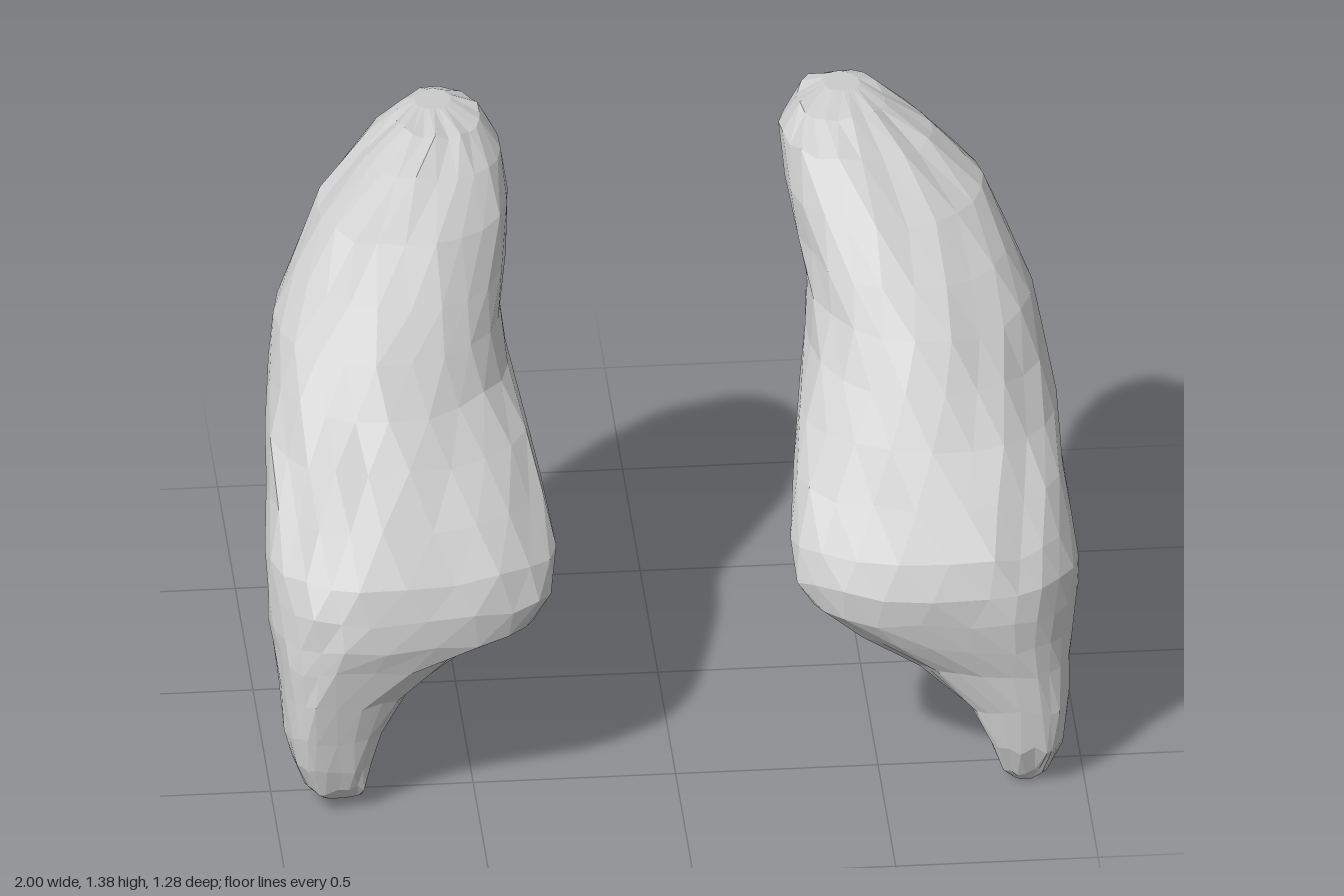
import * as THREE from 'three';

const SEGMENTS = 22;

// Each level: height, inner x, outer x, back z, front z
const LEFT = [
  [0.00, 0.83, 0.88, 0.55, 0.60], [0.03, 0.80, 0.91, 0.51, 0.62], [0.10, 0.77, 0.95, 0.43, 0.64],
  [0.20, 0.72, 0.97, 0.32, 0.635], [0.30, 0.60, 0.98, 0.16, 0.63], [0.38, 0.46, 0.99, 0.10, 0.63],
  [0.45, 0.34, 1.00, 0.06, 0.63], [0.52, 0.30, 1.00, 0.00, 0.62], [0.60, 0.295, 0.99, -0.07, 0.58],
  [0.70, 0.31, 0.985, -0.19, 0.48], [0.80, 0.34, 0.975, -0.35, 0.36], [0.90, 0.37, 0.955, -0.48, 0.26],
  [1.00, 0.38, 0.935, -0.56, 0.17], [1.10, 0.365, 0.89, -0.62, 0.07], [1.20, 0.34, 0.83, -0.64, -0.06],
  [1.30, 0.335, 0.71, -0.62, -0.21], [1.36, 0.38, 0.60, -0.58, -0.32], [1.38, 0.45, 0.54, -0.53, -0.43],
];
const RIGHT = [
  [0.03, 0.78, 0.89, 0.50, 0.60], [0.06, 0.77, 0.92, 0.47, 0.62], [0.12, 0.76, 0.95, 0.41, 0.63],
  [0.20, 0.73, 0.97, 0.32, 0.63], [0.30, 0.66, 0.98, 0.16, 0.63], [0.39, 0.53, 0.99, 0.10, 0.63],
  [0.45, 0.35, 1.00, 0.06, 0.63], [0.52, 0.295, 1.00, 0.00, 0.62], [0.60, 0.285, 1.00, -0.07, 0.58],
  [0.70, 0.305, 0.99, -0.19, 0.48], [0.80, 0.33, 0.98, -0.35, 0.36], [0.90, 0.365, 0.96, -0.48, 0.26],
  [1.00, 0.375, 0.94, -0.56, 0.17], [1.10, 0.355, 0.88, -0.62, 0.07], [1.20, 0.34, 0.82, -0.64, -0.06],
  [1.30, 0.355, 0.70, -0.62, -0.21], [1.36, 0.40, 0.61, -0.58, -0.32], [1.38, 0.47, 0.56, -0.53, -0.43],
];

function seeded(seed) {
  return () => (seed = (seed * 16807) % 2147483647) / 2147483647;
}

// Four rounded quarters joining the outermost, front, inner and back points of a slice
function slicePoint([y, inner, outer, back, front], angle) {
  const { lerp, smoothstep } = THREE.MathUtils;
  const rise = smoothstep(y, 0.3, 1.15);
  const c = Math.cos(angle), s = Math.sin(angle);
  let power = 0.94;
  if (s < 0) power = c < 0 ? lerp(1.15, 1, rise) : lerp(1.2, 1.25, rise);
  const midX = lerp(inner, outer, s > 0 ? lerp(0.7, 0.5, rise) : lerp(0.62, 0.5, rise));
  const midZ = lerp(back, front, c < 0 ? lerp(0.77, 0.52, rise) : lerp(0.62, 0.6, rise));
  return [
    midX + ((c > 0 ? outer : inner) - midX) * Math.abs(c) ** power,
    y,
    midZ + ((s > 0 ? front : back) - midZ) * Math.abs(s) ** power,
  ];
}

function lungGeometry(levels, side, seed) {
  const random = seeded(seed);
  const positions = [], index = [];
  const tri = (a, b, c) => (side > 0 ? index.push(a, b, c) : index.push(a, c, b));
  const last = levels.length - 1;

  // Stacked rings with slight surface irregularity
  levels.forEach((level, i) => {
    const jitter = i === 0 || i === last ? 0 : 0.022;
    const cx = (level[1] + level[2]) / 2, cz = (level[3] + level[4]) / 2;
    for (let j = 0; j < SEGMENTS; j++) {
      const angle = ((j + (i % 2) * 0.5) / SEGMENTS) * Math.PI * 2;
      const [x, y, z] = slicePoint(level, angle);
      const swell = 1 + (random() - 0.6) * jitter * 1.6;
      positions.push(side * (cx + (x - cx) * swell), y + (random() - 0.5) * jitter, cz + (z - cz) * swell);
    }
  });

  // Skin between rings, triangles staggered on alternate rows
  for (let i = 0; i < last; i++) {
    for (let j = 0; j < SEGMENTS; j++) {
      const k = (j + 1) % SEGMENTS;
      const a = i * SEGMENTS + j, b = i * SEGMENTS + k;
      const c = a + SEGMENTS, d = b + SEGMENTS;
      if (i % 2) { tri(a, c, d); tri(a, d, b); }
      else { tri(a, c, b); tri(b, c, d); }
    }
  }

  // Closed bottom tip and apex
  for (const i of [0, last]) {
    const [y, inner, outer, back, front] = levels[i];
    const centre = positions.length / 3;
    positions.push((side * (inner + outer)) / 2, y, (back + front) / 2);
    for (let j = 0; j < SEGMENTS; j++) {
      const a = i * SEGMENTS + j, b = i * SEGMENTS + ((j + 1) % SEGMENTS);
      if (i) tri(centre, b, a);
      else tri(centre, a, b);
    }
  }

  const geometry = new THREE.BufferGeometry();
  geometry.setAttribute('position', new THREE.Float32BufferAttribute(positions, 3));
  geometry.setIndex(index);
  geometry.computeVertexNormals();
  return geometry;
}

export function createModel() {
  const model = new THREE.Group();
  model.name = 'lungs';
  const material = new THREE.MeshStandardMaterial({ color: 0xcccccc, flatShading: true });
  for (const [name, levels, side, seed] of [['leftLung', LEFT, 1, 17], ['rightLung', RIGHT, -1, 91]]) {
    const lung = new THREE.Mesh(lungGeometry(levels, side, seed), material);
    lung.name = name;
    model.add(lung);
  }
  return model;
}
